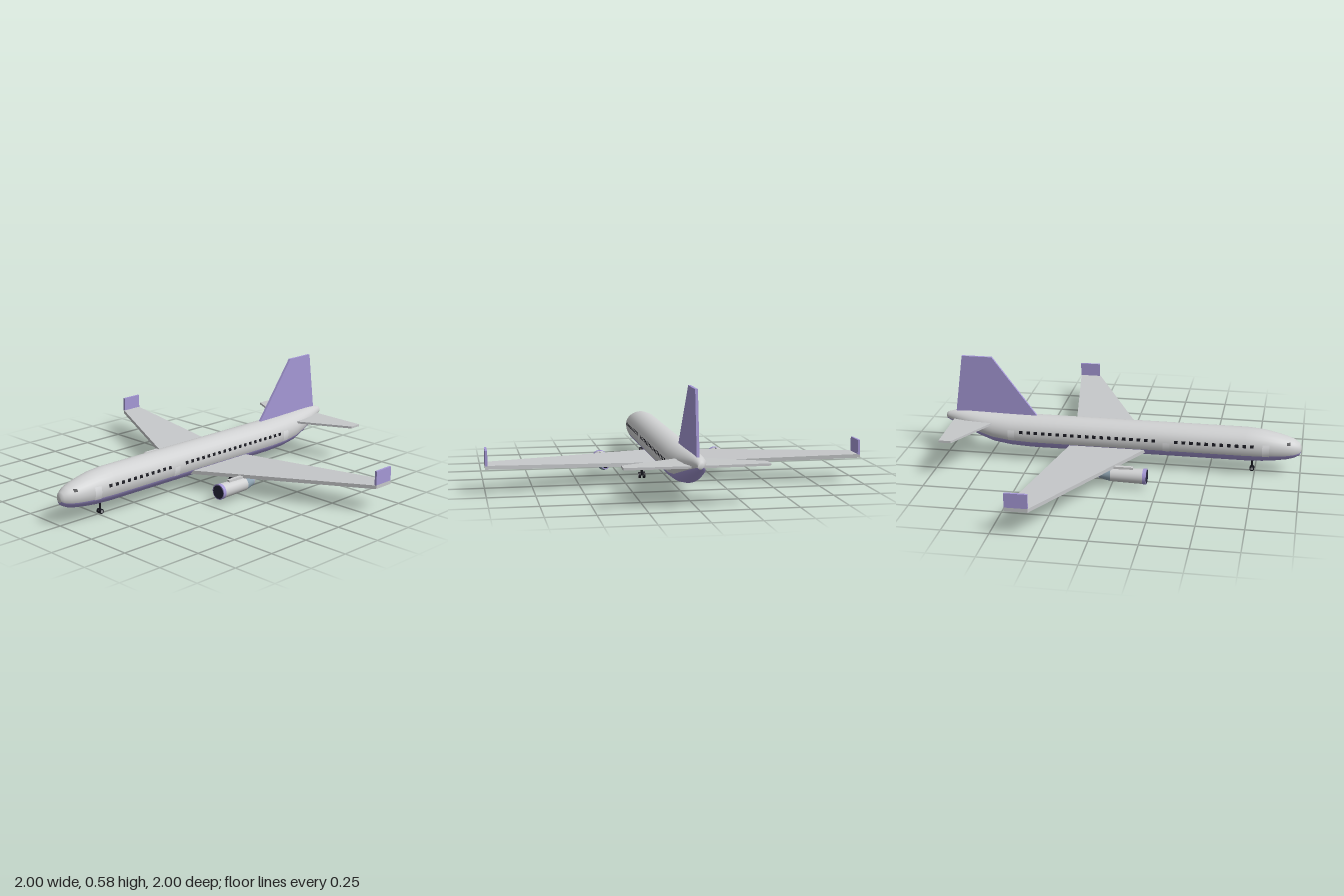
import * as THREE from 'three';
import { mergeGeometries } from 'three/addons/utils/BufferGeometryUtils.js';

const mat = (name, color) => Object.assign(new THREE.MeshStandardMaterial({ color }), { name });

// Fuselage sections: z, bottom, top, half width
const SECTIONS = [
  [1, .125, .16, .016], [.99, .108, .18, .032], [.96, .093, .2, .052], [.92, .083, .214, .066],
  [.86, .074, .229, .079], [.79, .067, .243, .088], [.7, .064, .25, .094], [-.5, .064, .25, .094],
  [-.62, .07, .251, .092], [-.72, .085, .253, .085], [-.8, .115, .255, .073], [-.88, .148, .256, .057],
  [-.95, .178, .253, .036], [-.99, .198, .242, .02], [-1, .203, .235, .014],
];

// Half width of the fuselage skin at a given z and y
function skinX(z, y) {
  let i = 0;
  while (i < SECTIONS.length - 2 && SECTIONS[i + 1][0] > z) i++;
  const a = SECTIONS[i], b = SECTIONS[i + 1], t = (z - a[0]) / (b[0] - a[0]);
  const [, lo, hi, w] = a.map((v, k) => v + (b[k] - v) * t);
  const d = (y - (lo + hi) / 2) / ((hi - lo) / 2);
  return w * Math.sqrt(Math.max(0, 1 - d * d));
}

// Loft through the sections: group 0 is the upper body, group 1 the belly
function fuselageGeometry() {
  const half = 18, n = half * 2, rows = SECTIONS.length;
  const low = -25 * Math.PI / 180, up = Math.PI - 2 * low;
  const angle = j => j <= half ? low + up * j / half : low + up + (2 * Math.PI - up) * (j - half) / half;
  const pos = [], upper = [], belly = [];
  for (const [z, lo, hi, w] of SECTIONS)
    for (let j = 0; j < n; j++)
      pos.push(w * Math.cos(angle(j)), (lo + hi) / 2 + (hi - lo) / 2 * Math.sin(angle(j)), z);
  for (let i = 0; i < rows - 1; i++)
    for (let j = 0; j < n; j++) {
      const k = (j + 1) % n, a = i * n + j, b = i * n + k, c = a + n, d = b + n;
      (j < half ? upper : belly).push(a, c, b, b, c, d);
    }
  const last = (rows - 1) * n;
  for (let j = 1; j < n - 1; j++) upper.push(0, j, j + 1, last, last + j + 1, last + j);
  const g = new THREE.BufferGeometry();
  g.setAttribute('position', new THREE.Float32BufferAttribute(pos, 3));
  g.setIndex([...upper, ...belly]);
  g.addGroup(0, upper.length, 0);
  g.addGroup(upper.length, belly.length, 1);
  g.computeVertexNormals();
  return g;
}

// Thin patch lying on the fuselage skin, side s = +1 or -1
function patch(s, z, y, w, h, lift) {
  const g = new THREE.PlaneGeometry(w, h, 2, 6), p = g.attributes.position;
  for (let i = 0; i < p.count; i++) {
    const pz = z - s * p.getX(i), py = y + p.getY(i);
    p.setXYZ(i, s * (skinX(pz, py) + lift), py, pz);
  }
  g.computeVertexNormals();
  return g;
}

const polygon = pts => new THREE.Shape(pts.map(([x, y]) => new THREE.Vector2(x, y)));

// Flat plate from an (x, z) outline, its top at y, rising outward by slope
function plate(pts, s, thick, y, slope) {
  const g = new THREE.ExtrudeGeometry(polygon(pts.map(([x, z]) => [s * x, z])), { depth: thick, bevelEnabled: false });
  g.rotateX(Math.PI / 2);
  const p = g.attributes.position;
  for (let i = 0; i < p.count; i++) p.setY(i, p.getY(i) + y + slope * Math.abs(p.getX(i)));
  g.computeVertexNormals();
  return g;
}

// Cylinder along z from back to front
function tube(rBack, rFront, back, front) {
  return new THREE.CylinderGeometry(rFront, rBack, front - back, 28).rotateX(Math.PI / 2).translate(0, 0, (back + front) / 2);
}

export function createModel() {
  const model = new THREE.Group();
  model.name = 'airliner';
  const body = mat('body grey', 0xcfd0d1), wing = mat('wing grey', 0xc6c8ca), violet = mat('violet', 0xa598d6);
  const dark = mat('dark', 0x17171f), intake = mat('intake dark', 0x25253a), steel = mat('exhaust steel', 0x8ea3b1);
  const door = mat('door grey', 0xdcdddf), hub = mat('hub grey', 0x9a9ca0);
  const add = (name, geo, m, parent = model) => {
    const mesh = new THREE.Mesh(geo, m);
    mesh.name = name;
    parent.add(mesh);
    return mesh;
  };

  add('fuselage', fuselageGeometry(), [body, violet]);

  // Tail fin
  const fin = new THREE.ExtrudeGeometry(
    polygon([[-.46, .22], [-.48, .25], [-.73, .58], [-.9, .58], [-.945, .25], [-.945, .22]]),
    { depth: .014, bevelEnabled: false });
  add('tailFin', fin.rotateY(-Math.PI / 2).translate(.007, 0, 0), violet);

  for (const s of [1, -1]) {
    const side = s > 0 ? 'left' : 'right';

    // Wing, winglet and tailplane
    add(side + 'Wing', plate([[0, .18], [1, -.3], [1, -.42], [0, -.264]], s, .02, .111, .039), wing);
    add(side + 'Winglet', new THREE.BoxGeometry(.012, .08, .12).translate(s * .994, .187, -.36), violet);
    add(side + 'Tailplane', plate([[0, -.69], [.365, -.875], [.365, -.943], [0, -.952]], s, .012, .213, 0), wing);

    // Cabin windows, cockpit window and doors
    const windows = [];
    for (let i = 0; i < 32; i++) {
      const z = .735 - i * .0415;
      if (Math.abs(z - .265) > .03) windows.push(patch(s, z, .176, .02, .017, .003));
    }
    add(side + 'CabinWindows', mergeGeometries(windows), dark);
    add(side + 'CockpitWindow', patch(s, .932, .187, .018, .014, .002), dark);
    const doors = [[.81, .15, .07], [.265, .142, .052], [-.61, .155, .06]];
    add(side + 'Doors', mergeGeometries(doors.map(([z, y, h]) => patch(s, z, y, .038, h, .0015))), door);

    // Engine
    const engine = new THREE.Group();
    engine.name = side + 'Engine';
    engine.position.set(s * .333, .067, 0);
    model.add(engine);
    add('cowl', tube(.037, .041, 0, .176), body, engine);
    add('intakeLip', tube(.042, .043, .174, .194), violet, engine);
    add('intake', tube(.037, .037, .19, .196), intake, engine);
    add('exhaustCone', tube(.023, .037, -.06, 0), steel, engine);
    add('exhaustRing', tube(.022, .022, -.064, -.06), violet, engine);
    add('exhaustHole', tube(.015, .015, -.066, -.06), dark, engine);
    add('pylon', new THREE.BoxGeometry(.02, .028, .2).translate(0, .036, .02), body, engine);
  }

  // Landing gear: strut with a pair of wheels
  const gear = (name, x, z, r, gap, top) => {
    const g = new THREE.Group();
    g.name = name;
    g.position.set(x, 0, z);
    model.add(g);
    add('strut', new THREE.CylinderGeometry(.006, .006, top - r, 10).translate(0, (top + r) / 2, 0), dark, g);
    add('axle', new THREE.CylinderGeometry(.004, .004, gap * 2, 8).rotateZ(Math.PI / 2).translate(0, r, 0), dark, g);
    for (const s of [1, -1]) {
      add('wheel', new THREE.CylinderGeometry(r, r, .011, 18).rotateZ(Math.PI / 2).translate(s * gap, r, 0), dark, g);
      add('hub', new THREE.CylinderGeometry(r * .6, r * .6, .013, 14).rotateZ(Math.PI / 2).translate(s * gap, r, 0), hub, g);
    }
  };
  gear('noseGear', 0, .735, .013, .009, .09);
  gear('leftMainGear', .14, -.115, .017, .012, .11);
  gear('rightMainGear', -.14, -.115, .017, .012, .11);

  return model;
}
